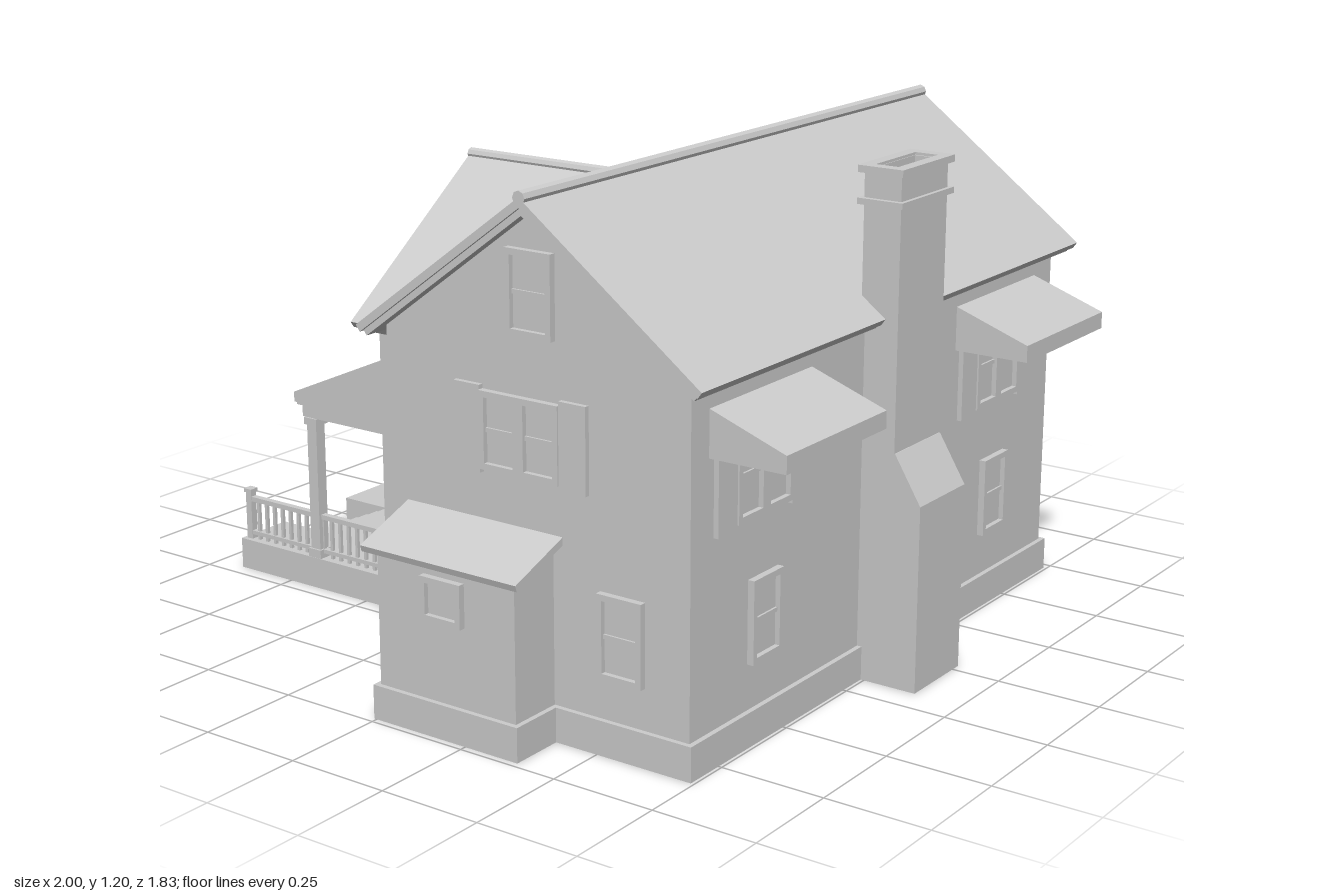
import * as THREE from 'three';

const mat = new THREE.MeshStandardMaterial({ color: 0xcccccc, flatShading: true, side: THREE.DoubleSide });
const PITCH = 0.74;

function add(parent, name, geo, x = 0, y = 0, z = 0) {
  const m = new THREE.Mesh(geo, mat);
  m.name = name;
  m.position.set(x, y, z);
  parent.add(m);
  return m;
}

// Box given by its min and max corners
function box(parent, name, x0, x1, y0, y1, z0, z1) {
  return add(parent, name, new THREE.BoxGeometry(x1 - x0, y1 - y0, z1 - z0),
    (x0 + x1) / 2, (y0 + y1) / 2, (z0 + z1) / 2);
}

// Flat polygon (fan from the first corner), thickened by an offset if given
function slab(parent, name, pts, off) {
  const v = [], n = pts.length;
  const low = off && pts.map(p => p.map((c, k) => c + off[k]));
  for (let i = 1; i < n - 1; i++) {
    v.push(...pts[0], ...pts[i], ...pts[i + 1]);
    if (low) v.push(...low[0], ...low[i + 1], ...low[i]);
  }
  if (low) for (let i = 0; i < n; i++) {
    const j = (i + 1) % n;
    v.push(...pts[i], ...low[i], ...low[j], ...pts[i], ...low[j], ...pts[j]);
  }
  const g = new THREE.BufferGeometry();
  g.setAttribute('position', new THREE.Float32BufferAttribute(v, 3));
  g.computeVertexNormals();
  return add(parent, name, g);
}

const shapeOf = pts => new THREE.Shape(pts.map(p => new THREE.Vector2(...p)));

// Side profile of [outward, up] points, swept from x0 to x1
function profile(parent, name, pts, x0, x1) {
  const g = new THREE.ExtrudeGeometry(shapeOf(pts), { depth: x1 - x0, bevelEnabled: false });
  g.rotateY(-Math.PI / 2);
  return add(parent, name, g, x1, 0, 0);
}

// Rectangular ring extruded outward
function frame(w, h, t, depth) {
  const rect = (a, b) => [[-a, -b], [a, -b], [a, b], [-a, b]];
  const s = shapeOf(rect(w / 2, h / 2));
  s.holes.push(shapeOf(rect(w / 2 - t, h / 2 - t).reverse()));
  return new THREE.ExtrudeGeometry(s, { depth, bevelEnabled: false });
}

// Sash window with optional side shutters; x is its centre along the wall
function windowUnit(wall, x, y0, y1, w, { shutter = 0, panes = 1, sash = true } = {}) {
  const g = new THREE.Group();
  g.name = 'window';
  g.position.set(x, (y0 + y1) / 2, 0);
  wall.add(g);
  const h = y1 - y0, pw = w / panes;
  for (let i = 0; i < panes; i++) {
    const px = -w / 2 + pw * (i + 0.5);
    add(g, 'windowFrame', frame(pw, h, 0.014, 0.016), px);
    box(g, 'glass', px - pw / 2 + 0.014, px + pw / 2 - 0.014, -h / 2 + 0.014, h / 2 - 0.014, 0, 0.004);
    if (sash) box(g, 'sashBar', px - pw / 2 + 0.014, px + pw / 2 - 0.014, -0.005, 0.005, 0, 0.009);
  }
  if (shutter) for (const s of [-1, 1]) {
    const a = s * w / 2, b = s * (w / 2 + shutter);
    box(g, 'shutter', Math.min(a, b), Math.max(a, b), -h / 2 - 0.01, h / 2 + 0.01, 0, 0.012);
  }
}

// Baluster run along [outward, floor height, rail height] stations
function railing(parent, x, stations, count, postEnds) {
  const bar = (a, b, ya, yb, t) => profile(parent, 'rail',
    [[a, ya - t], [b, yb - t], [b, yb], [a, ya]], x - 0.008, x + 0.008);
  for (let i = 0; i < stations.length - 1; i++) {
    const [a, fa, ra] = stations[i], [b, fb, rb] = stations[i + 1];
    bar(a, b, ra, rb, 0.012);
    if (postEnds) bar(a, b, fa + 0.022, fb + 0.022, 0.01);
    for (let k = 0; k <= count[i]; k++) {
      const t = k / count[i], z = a + (b - a) * t;
      box(parent, 'baluster', x - 0.004, x + 0.004, fa + (fb - fa) * t, ra + (rb - ra) * t - 0.005, z - 0.004, z + 0.004);
    }
  }
}

export function createModel() {
  const house = new THREE.Group();
  house.name = 'house';
  const X0 = -0.84, X1 = 0.715, ZF = 0.73, ZB = -0.07, ZM = 0.33;
  const WX = -0.068, WH = 0.405, ZW = -0.42, W0 = WX - WH, W1 = WX + WH;
  const top = 0.855, wingTop = 0.73;

  // Walls, open underneath
  const wall = (name, a, b, y) =>
    slab(house, name, [[a[0], 0, a[1]], [b[0], 0, b[1]], [b[0], y, b[1]], [a[0], y, a[1]]]);
  wall('frontWall', [X0, ZF], [X1, ZF], top);
  wall('rearWall', [X1, ZB], [W1, ZB], top);
  wall('rearWall', [W0, ZB], [X0, ZB], top);
  wall('wingSideWall', [W1, ZB], [W1, ZW], wingTop);
  wall('wingSideWall', [W0, ZW], [W0, ZB], wingTop);
  slab(house, 'leftGableWall', [[X1, 0, ZF], [X1, 0, ZB], [X1, top, ZB], [X1, 1.15, ZM], [X1, top, ZF]]);
  slab(house, 'rightGableWall', [[X0, 0, ZB], [X0, 0, ZF], [X0, top, ZF], [X0, 1.15, ZM], [X0, top, ZB]]);
  slab(house, 'wingGableWall', [[W1, 0, ZW], [W0, 0, ZW], [W0, wingTop, ZW], [WX, 1.03, ZW], [W1, wingTop, ZW]]);

  // Foundation ledge
  const F = 0.08, e = 0.012;
  for (const [a, b, c, d] of [
    [X0 - e, X1 + e, ZF, ZF + e], [X0 - e, X0, ZB - e, ZF], [X1, X1 + e, ZB - e, ZF],
    [X0, W0, ZB - e, ZB], [W1, X1, ZB - e, ZB],
    [W0 - e, W0, ZW - e, ZB - e], [W1, W1 + e, ZW - e, ZB - e], [W0, W1, ZW - e, ZW],
  ]) box(house, 'foundation', a, b, 0, F, c, d);

  // Main roof: covering and an inset board beneath it
  const half = 0.452;
  for (const s of [-1, 1]) {
    const nz = s * 0.595, layer = (name, x0, x1, drop, run, t) => {
      const p = (x, d) => [x, 1.185 - drop - PITCH * d, ZM + s * d];
      slab(house, name, [p(x0, 0), p(x1, 0), p(x1, run), p(x0, run)], [0, -t * 0.804, -nz * t]);
    };
    layer('mainRoof', -0.88, 0.75, 0, half, 0.018);
    layer('roofBoard', -0.872, 0.742, 0.0224, half - 0.015, 0.014);
  }
  // Rear wing roof, cut along the valleys
  for (const s of [-1, 1]) {
    const layer = (name, drop, run, z, t) => {
      const p = (d, zz) => [WX + s * d, 1.065 - drop - PITCH * d, zz];
      slab(house, name, [p(0.285, -0.12), p(run, ZB), p(run, z), p(0, z), p(0, 0.168)],
        [-s * 0.595 * t, -t * 0.804, 0]);
    };
    layer('wingRoof', 0, 0.455, -0.465, 0.018);
    layer('wingRoofBoard', 0.0224, 0.44, -0.457, 0.014);
  }
  // Ridge caps
  add(house, 'mainRidge', new THREE.CylinderGeometry(0.016, 0.016, 1.63, 8).rotateZ(Math.PI / 2), -0.065, 1.183, ZM);
  add(house, 'wingRidge', new THREE.CylinderGeometry(0.014, 0.014, 0.635, 8).rotateX(Math.PI / 2), WX, 1.062, -0.148);

  // Facade groups: local z points out of the wall
  const facade = (name, x, z, turn) => {
    const g = new THREE.Group();
    g.name = name;
    g.position.set(x, 0, z);
    g.rotation.y = turn * Math.PI / 2;
    house.add(g);
    return g;
  };
  const front = facade('frontFacade', 0, ZF, 0), left = facade('leftFacade', X1, 0, 1);
  const rear = facade('rearFacade', 0, ZB, 2), wing = facade('wingFacade', 0, ZW, 2);
  const right = facade('rightFacade', X0, 0, -1);

  // Front: awning windows, lower windows
  for (const x of [-0.583, 0.435]) {
    windowUnit(front, x, 0.515, 0.715, 0.21, { shutter: 0.07, panes: 2 });
    profile(front, 'awning', [[0, 0.68], [0.185, 0.68], [0.185, 0.72], [0, 0.785]], x - 0.193, x + 0.193);
  }
  for (const x of [-0.57, 0.44]) windowUnit(front, x, 0.185, 0.375, 0.115);

  // Chimney with sloped shoulder and hollow top
  const cx = -0.075;
  profile(front, 'chimneyBase', [[0, 0], [0.152, 0], [0.152, 0.44], [0.085, 0.55], [0, 0.55]], cx - 0.1, cx + 0.1);
  const ring = (name, w, d, t, y, h) =>
    add(front, name, frame(w, d, t, h).rotateX(-Math.PI / 2), cx, y, 0.037);
  ring('chimneyStack', 0.2, 0.092, 0.02, 0.55, 0.63);
  ring('chimneyBand', 0.226, 0.112, 0.03, 1.1, 0.014);
  ring('chimneyCap', 0.226, 0.112, 0.028, 1.17, 0.016);
  box(front, 'chimneyFlue', cx - 0.085, cx + 0.085, 1.1, 1.13, 0.005, 0.07);

  // Left side: windows, door, awning, steps
  windowUnit(left, -0.33, 0.885, 1.07, 0.12);
  for (const x of [-0.513, -0.115]) windowUnit(left, x, 0.578, 0.762, 0.115, { shutter: 0.068 });
  windowUnit(left, -0.518, 0.175, 0.365, 0.115);
  add(left, 'doorFrame', frame(0.185, 0.31, 0.016, 0.014), -0.203, 0.235, 0);
  box(left, 'door', -0.28, -0.126, 0.09, 0.38, 0, 0.006);
  profile(left, 'doorAwning', [[0, 0.39], [0.132, 0.39], [0.132, 0.415], [0, 0.475]], -0.32, -0.08);
  profile(left, 'steps', [[0, 0.06], [0.11, 0.06], [0.24, 0], [0.285, 0], [0.285, 0.016], [0.247, 0.016],
    [0.247, 0.034], [0.207, 0.034], [0.207, 0.052], [0.168, 0.052], [0.168, 0.07], [0.13, 0.07],
    [0.13, 0.088], [0, 0.088]], -0.312, -0.085);
  for (const x of [-0.302, -0.095])
    railing(left, x, [[0.005, 0.085, 0.19], [0.115, 0.085, 0.19], [0.28, 0.012, 0.12]], [3, 4], false);

  // Rear of the main block
  windowUnit(rear, 0.655, 0.57, 0.76, 0.115);
  windowUnit(rear, 0.655, 0.165, 0.355, 0.115);
  windowUnit(rear, -0.53, 0.57, 0.76, 0.115);
  windowUnit(rear, -0.53, 0.175, 0.345, 0.15, { shutter: 0.06 });

  // Right side: windows and a small lean-to
  windowUnit(right, 0.33, 0.885, 1.07, 0.12);
  windowUnit(right, 0.3, 0.578, 0.752, 0.21, { shutter: 0.07, panes: 2 });
  windowUnit(right, 0.56, 0.175, 0.365, 0.115);
  const bay = new THREE.Group();
  bay.name = 'leanTo';
  right.add(bay);
  for (const x of [0.005, 0.38])
    slab(bay, 'leanToSide', [[x, 0, 0], [x, 0, 0.133], [x, 0.4, 0.133], [x, 0.45, 0]]);
  slab(bay, 'leanToWall', [[0.005, 0, 0.133], [0.38, 0, 0.133], [0.38, 0.4, 0.133], [0.005, 0.4, 0.133]]);
  profile(bay, 'leanToRoof', [[0, 0.445], [0.155, 0.388], [0.16, 0.403], [0, 0.463]], -0.02, 0.405);
  box(bay, 'foundation', -0.007, 0.392, 0, F, 0.133, 0.145);
  box(bay, 'foundation', -0.007, 0.005, 0, F, 0, 0.133);
  box(bay, 'foundation', 0.38, 0.392, 0, F, 0, 0.133);
  const bayWall = new THREE.Group();
  bayWall.name = 'leanToWindow';
  bayWall.position.z = 0.133;
  bay.add(bayWall);
  windowUnit(bayWall, 0.19, 0.265, 0.365, 0.11, { sash: false });

  // Wing end: upper window, porch window and door
  windowUnit(wing, 0.07, 0.57, 0.75, 0.21, { shutter: 0.07, panes: 2 });
  windowUnit(wing, -0.14, 0.2, 0.39, 0.22, { panes: 1 });
  add(wing, 'porchDoorFrame', frame(0.16, 0.32, 0.016, 0.014), 0.19, 0.24, 0);
  box(wing, 'porchDoor', 0.126, 0.254, 0.08, 0.385, 0, 0.006);

  // Porch deck with a stair notch
  const P0 = -0.318, P1 = 0.462, D = 0.498, N0 = 0.07, N1 = 0.305, ND = 0.355;
  const plan = shapeOf([[P0, 0], [P0, -D], [N0, -D], [N0, -ND], [N1, -ND], [N1, -D], [P1, -D], [P1, 0]]);
  add(wing, 'porchDeck', new THREE.ExtrudeGeometry(plan, { depth: 0.078, bevelEnabled: false }).rotateX(-Math.PI / 2));
  for (let i = 0; i < 4; i++)
    box(wing, 'porchStep', N0, N1, 0, 0.0156 * (4 - i), ND + i * 0.0355, ND + (i + 1) * 0.0355);

  // Porch roof, beams, columns and railings
  profile(wing, 'porchRoof', [[0, 0.6], [0.285, 0.475], [0.296, 0.475], [0.296, 0.5], [0, 0.63]], P0, P1);
  box(wing, 'porchCeiling', P0 + 0.004, P1 - 0.004, 0.468, 0.478, 0, 0.292);
  for (const s of [P0, P1])
    slab(wing, 'porchRoofEnd', [[s, 0.475, 0], [s, 0.475, 0.288], [s, 0.61, 0]]);
  box(wing, 'porchBeam', P0 + 0.006, P1 - 0.006, 0.44, 0.47, 0.235, 0.275);
  for (const x of [-0.295, 0.441]) {
    box(wing, 'sideBeam', x - 0.016, x + 0.016, 0.44, 0.47, 0, 0.236);
    box(wing, 'column', x - 0.015, x + 0.015, 0.078, 0.44, 0.232, 0.262);
    box(wing, 'columnCap', x - 0.02, x + 0.02, 0.422, 0.44, 0.227, 0.267);
    box(wing, 'columnBase', x - 0.02, x + 0.02, 0.078, 0.1, 0.227, 0.267);
    railing(wing, x, [[0.01, 0.078, 0.19], [0.232, 0.078, 0.19]], [8], true);
    railing(wing, x, [[0.262, 0.078, 0.19], [0.48, 0.078, 0.19]], [8], true);
    box(wing, 'railPost', x - 0.009, x + 0.009, 0.078, 0.205, 0.471, 0.489);
    box(wing, 'postCap', x - 0.012, x + 0.012, 0.2, 0.21, 0.468, 0.492);
  }
  return house;
}
